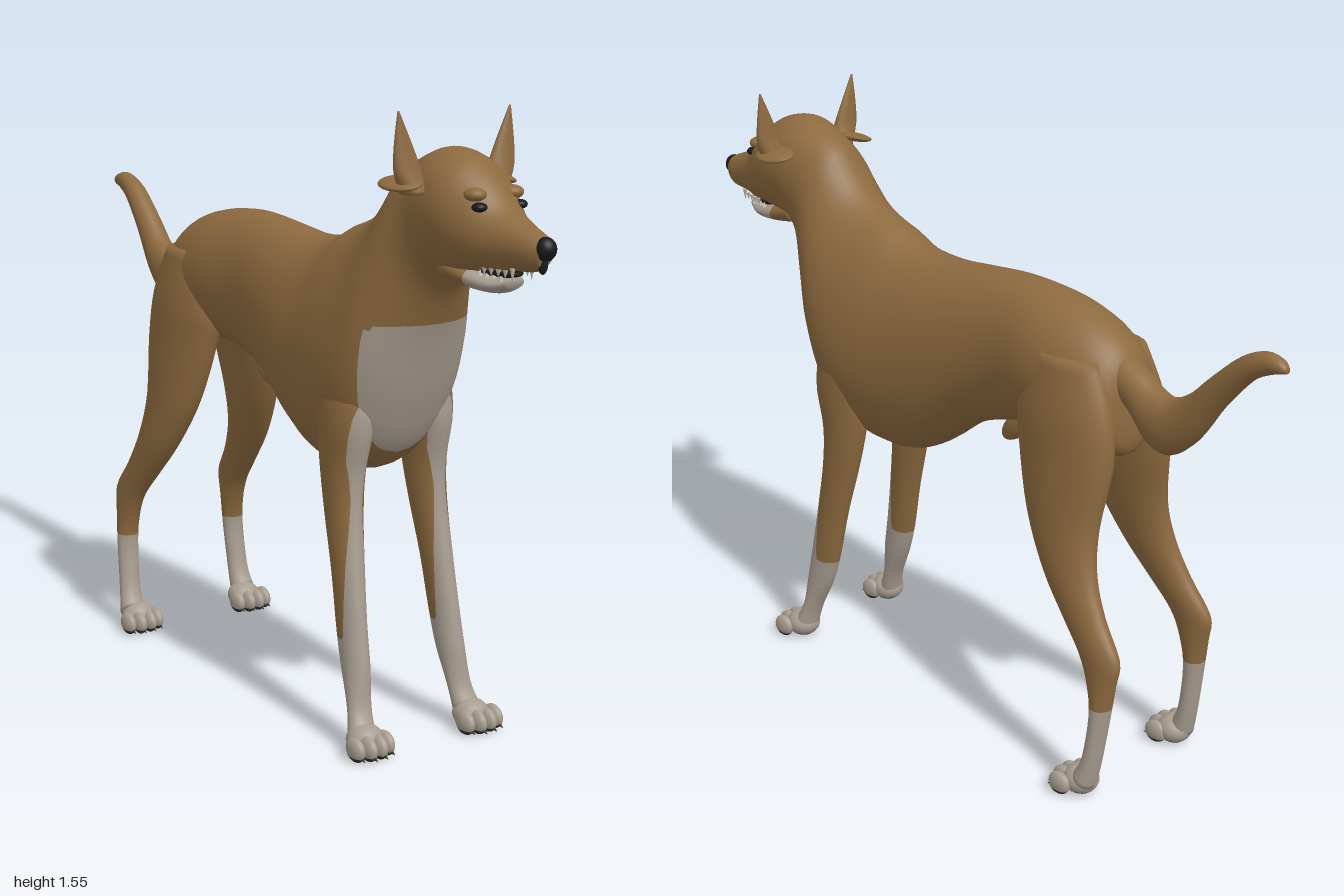
import * as THREE from 'three';
import { mergeGeometries } from 'three/addons/utils/BufferGeometryUtils.js';

const mat = (name, color) => Object.assign(new THREE.MeshStandardMaterial({ color }), { name });
const brown = mat('brown coat', 0x8d6a3f);
const white = mat('pale markings', 0xa89d90);
const dark = mat('black nose and eyes', 0x1b1a1a);
const pad = mat('dark pads', 0x35322f);
const ivory = mat('teeth', 0xc4bdb0);

// Smooth closed loft. Row: [zA, yA, zB, yB, halfWidth, xCentre, egg]; A and B are opposite profile points.
function loft(rows, side = 1, sub = 4, segs = 28) {
  const full = rows.map(r => [...r, 0, 0].slice(0, 7));
  const at = i => full[Math.min(Math.max(i, 0), full.length - 1)];
  const rings = [];
  for (let i = 0; i < full.length - 1; i++)
    for (let k = 0; k < sub || (i === full.length - 2 && k === sub); k++) {
      const t = k / sub;
      rings.push(full[0].map((_, c) => {
        const [p, q, r, s] = [at(i - 1)[c], at(i)[c], at(i + 1)[c], at(i + 2)[c]];
        return 0.5 * (2 * q + (r - p) * t + (2 * p - 5 * q + 4 * r - s) * t * t + (3 * q - p - 3 * r + s) * t * t * t);
      }));
    }
  const pos = [], index = [];
  for (const [za, ya, zb, yb, w, x, egg] of rings)
    for (let j = 0; j < segs; j++) {
      const a = j / segs * Math.PI * 2, s = Math.sin(a), c = Math.cos(a);
      pos.push(side * x + w * c * (1 - egg * s), (ya + yb) / 2 + (ya - yb) / 2 * s, (za + zb) / 2 + (za - zb) / 2 * s);
    }
  const n = rings.length;
  for (let i = 0; i < n - 1; i++)
    for (let j = 0; j < segs; j++) {
      const a = i * segs + j, b = i * segs + (j + 1) % segs;
      index.push(a, b, a + segs, b, b + segs, a + segs);
    }
  for (const i of [0, n - 1]) {
    const [za, ya, zb, yb, , x] = rings[i], centre = pos.length / 3;
    pos.push(side * x, (ya + yb) / 2, (za + zb) / 2);
    for (let j = 0; j < segs; j++) {
      const a = i * segs + j, b = i * segs + (j + 1) % segs;
      if (i) index.push(a, b, centre); else index.push(b, a, centre);
    }
  }
  // Turn the faces outward
  let volume = 0;
  const v = k => new THREE.Vector3().fromArray(pos, index[k] * 3);
  for (let k = 0; k < index.length; k += 3) volume += v(k).dot(v(k + 1).cross(v(k + 2)));
  if (volume < 0) index.reverse();
  const g = new THREE.BufferGeometry();
  g.setAttribute('position', new THREE.Float32BufferAttribute(pos, 3));
  g.setIndex(index);
  g.computeVertexNormals();
  return g;
}

// Cut a geometry along rule = 0; the positive side gets the first material
function split(name, geometry, rule, matIn, matOut) {
  const g = geometry.index ? geometry.toNonIndexed() : geometry;
  const P = g.attributes.position, N = g.attributes.normal, group = new THREE.Group();
  group.name = name;
  for (const sign of [1, -1]) {
    const pos = [], nor = [];
    for (let i = 0; i < P.count; i += 3) {
      const tri = [0, 1, 2].map(k => {
        const p = new THREE.Vector3().fromBufferAttribute(P, i + k);
        return { p, n: new THREE.Vector3().fromBufferAttribute(N, i + k), f: sign * rule(p) };
      });
      const poly = [];
      tri.forEach((a, k) => {
        const b = tri[(k + 1) % 3];
        if (a.f >= 0) poly.push(a);
        if ((a.f >= 0) !== (b.f >= 0)) {
          const t = a.f / (a.f - b.f);
          poly.push({ p: a.p.clone().lerp(b.p, t), n: a.n.clone().lerp(b.n, t).normalize() });
        }
      });
      for (let k = 1; k < poly.length - 1; k++)
        for (const q of [poly[0], poly[k], poly[k + 1]]) { pos.push(...q.p); nor.push(...q.n); }
    }
    if (!pos.length) continue;
    const out = new THREE.BufferGeometry();
    out.setAttribute('position', new THREE.Float32BufferAttribute(pos, 3));
    out.setAttribute('normal', new THREE.Float32BufferAttribute(nor, 3));
    group.add(mesh(name + (sign > 0 ? 'Marking' : 'Coat'), out, sign > 0 ? matIn : matOut));
  }
  return group;
}

function mesh(name, geometry, material) {
  const m = new THREE.Mesh(geometry, material);
  m.name = name;
  return m;
}
const ball = (x, y, z, rx, ry, rz, tilt = 0, roll = 0) =>
  new THREE.SphereGeometry(1, 20, 14).scale(rx, ry, rz).rotateX(tilt).rotateZ(roll).translate(x, y, z);
const spike = (x, y, z, r, h, tilt) => new THREE.ConeGeometry(r, h, 8).rotateX(tilt).translate(x, y, z);

// Pale bib, running down the front of the forelegs
const bib = p => Math.min(1.04 - p.y, p.z - (p.y > 0.7 ? 0.455 + (p.y - 0.7) * 0.2 : 0.455 + (0.7 - p.y) * 0.05));
const sock = p => 0.265 - p.y;

function addPaw(root, name, x, z, side) {
  const toes = [], claws = [];
  [-0.043, -0.015, 0.015, 0.043].forEach((dx, i) => {
    const dz = i === 1 || i === 2 ? 0.012 : 0;
    toes.push(ball(x + dx, 0.03, z + 0.03 + dz, 0.017, 0.03, 0.034, 0.2));
    claws.push(spike(x + dx, 0.014, z + 0.062 + dz, 0.006, 0.022, 1.9));
  });
  toes.push(ball(x - side * 0.004, 0.038, z, 0.046, 0.038, 0.046));
  root.add(split(name, mergeGeometries(toes), p => 0.014 - p.y, pad, white));
  root.add(mesh(name + 'Claws', mergeGeometries(claws), pad));
}

export function createModel() {
  const root = new THREE.Group();
  root.name = 'dog';

  // Torso, neck, skull and upper muzzle
  root.add(split('body', loft([
    [-0.535, 1.08, -0.545, 0.93, 0.05], [-0.50, 1.13, -0.53, 0.86, 0.10], [-0.42, 1.18, -0.44, 0.84, 0.13],
    [-0.30, 1.21, -0.28, 0.86, 0.138], [-0.155, 1.22, -0.14, 0.83, 0.125], [0, 1.205, -0.02, 0.785, 0.14],
    [0.11, 1.195, 0.11, 0.69, 0.158], [0.22, 1.205, 0.22, 0.64, 0.168, 0, 0.05], [0.30, 1.24, 0.36, 0.645, 0.178, 0, 0.12],
    [0.37, 1.265, 0.46, 0.71, 0.178, 0, 0.18], [0.43, 1.30, 0.525, 0.84, 0.165, 0, 0.2],
    [0.475, 1.345, 0.575, 0.985, 0.142, 0, 0.15], [0.52, 1.40, 0.62, 1.09, 0.12, 0, 0.05],
    [0.58, 1.435, 0.655, 1.14, 0.11], [0.66, 1.46, 0.69, 1.17, 0.112, 0, -0.05],
    [0.74, 1.445, 0.74, 1.18, 0.107, 0, -0.05], [0.80, 1.40, 0.79, 1.19, 0.09, 0.005], [0.85, 1.345, 0.84, 1.195, 0.068, 0.01],
    [0.91, 1.315, 0.89, 1.205, 0.05, 0.012], [0.96, 1.295, 0.945, 1.21, 0.037, 0.014], [0.985, 1.28, 0.97, 1.225, 0.022, 0.015],
  ], 1, 4, 40), bib, white, brown));

  // Lower jaw, mouth, teeth and nose
  root.add(split('lowerJaw', loft([
    [0.69, 1.23, 0.68, 1.16, 0.06], [0.78, 1.20, 0.77, 1.148, 0.055, 0.006],
    [0.84, 1.187, 0.835, 1.148, 0.042, 0.01], [0.88, 1.19, 0.875, 1.163, 0.024, 0.012],
  ]), p => p.z - 0.765, white, brown));
  root.add(mesh('mouth', ball(0.01, 1.197, 0.82, 0.036, 0.013, 0.075), dark));
  const teeth = [];
  for (const s of [-1, 1])
    for (let i = 0; i < 5; i++) {
      const z = 0.80 + i * 0.02, x = 0.012 + s * (0.043 - i * 0.004);
      teeth.push(spike(x, 1.198, z + 0.02, 0.006, i === 4 ? 0.032 : 0.018, Math.PI));
      if (i < 4) teeth.push(spike(x - s * 0.004, 1.194, z, 0.006, i === 3 ? 0.03 : 0.016, 0));
    }
  root.add(mesh('teeth', mergeGeometries(teeth), ivory));
  root.add(mesh('nose', mergeGeometries([
    ball(0.015, 1.264, 0.974, 0.025, 0.027, 0.026), ball(0.015, 1.232, 0.966, 0.01, 0.025, 0.014),
  ]), dark));

  // Tail
  root.add(mesh('tail', loft([
    [-0.44, 1.14, -0.50, 1.0, 0.05], [-0.56, 1.09, -0.555, 0.975, 0.05, 0.008], [-0.62, 1.06, -0.61, 0.915, 0.048, 0.012],
    [-0.67, 1.05, -0.675, 0.906, 0.046, 0.015], [-0.725, 1.078, -0.75, 0.965, 0.042, 0.016],
    [-0.79, 1.14, -0.825, 1.07, 0.036, 0.018], [-0.87, 1.21, -0.905, 1.16, 0.03, 0.02],
    [-0.935, 1.24, -0.955, 1.19, 0.024, 0.02], [-0.98, 1.235, -0.985, 1.20, 0.018, 0.02], [-1, 1.22, -1, 1.205, 0.008, 0.02],
  ]), brown));
  root.add(mesh('sheath', ball(0, 0.815, -0.145, 0.024, 0.03, 0.068, 0.75), brown));

  for (const s of [-1, 1]) {
    const label = s > 0 ? 'left' : 'right';
    // Upright ear with a folded flap at its base
    root.add(mesh(label + 'Ear', loft([
      [0.70, 1.36, 0.63, 1.36, 0.03, 0.115], [0.685, 1.41, 0.645, 1.41, 0.036, 0.131],
      [0.675, 1.47, 0.652, 1.47, 0.024, 0.143], [0.665, 1.545, 0.66, 1.545, 0.002, 0.156],
    ], s), brown));
    root.add(mesh(label + 'EarFlap', ball(s * 0.133, 1.382, 0.64, 0.042, 0.012, 0.066, 0.05, -s * 0.25), brown));

    // Eye under a low brow
    root.add(mesh(label + 'Eye', ball(0.007 + s * 0.056, 1.342, 0.822, 0.018, 0.011, 0.018), dark));
    root.add(mesh(label + 'Brow', ball(0.005 + s * 0.052, 1.368, 0.803, 0.026, 0.016, 0.026), brown));

    // Foreleg
    root.add(split(label + 'Foreleg', loft([
      [0.46, 0.97, 0.28, 1.0, 0.045, 0.12], [0.49, 0.80, 0.31, 0.82, 0.058, 0.117], [0.467, 0.67, 0.325, 0.68, 0.048, 0.12],
      [0.468, 0.56, 0.352, 0.56, 0.042, 0.125], [0.49, 0.42, 0.39, 0.42, 0.036, 0.132], [0.512, 0.30, 0.42, 0.28, 0.033, 0.138],
      [0.53, 0.20, 0.45, 0.19, 0.033, 0.142], [0.54, 0.11, 0.495, 0.10, 0.032, 0.15], [0.56, 0.07, 0.515, 0.03, 0.036, 0.158],
    ], s), p => Math.max(sock(p), bib(p)), white, brown));
    addPaw(root, label + 'FrontPaw', s * 0.163, 0.555, s);

    // Hind leg with thigh and hock
    root.add(split(label + 'HindLeg', loft([
      [-0.29, 1.10, -0.49, 1.10, 0.05, 0.08], [-0.25, 0.95, -0.54, 0.98, 0.068, 0.09], [-0.265, 0.85, -0.557, 0.85, 0.066, 0.10],
      [-0.315, 0.69, -0.537, 0.69, 0.056, 0.122], [-0.39, 0.56, -0.553, 0.58, 0.045, 0.142],
      [-0.47, 0.465, -0.60, 0.485, 0.036, 0.156], [-0.535, 0.39, -0.66, 0.40, 0.031, 0.166],
      [-0.57, 0.32, -0.652, 0.33, 0.03, 0.17], [-0.586, 0.24, -0.637, 0.24, 0.03, 0.173],
      [-0.572, 0.12, -0.617, 0.11, 0.03, 0.178], [-0.55, 0.07, -0.60, 0.03, 0.035, 0.182],
    ], s), sock, white, brown));
    addPaw(root, label + 'HindPaw', s * 0.178, -0.555, s);
  }
  return root;
}
